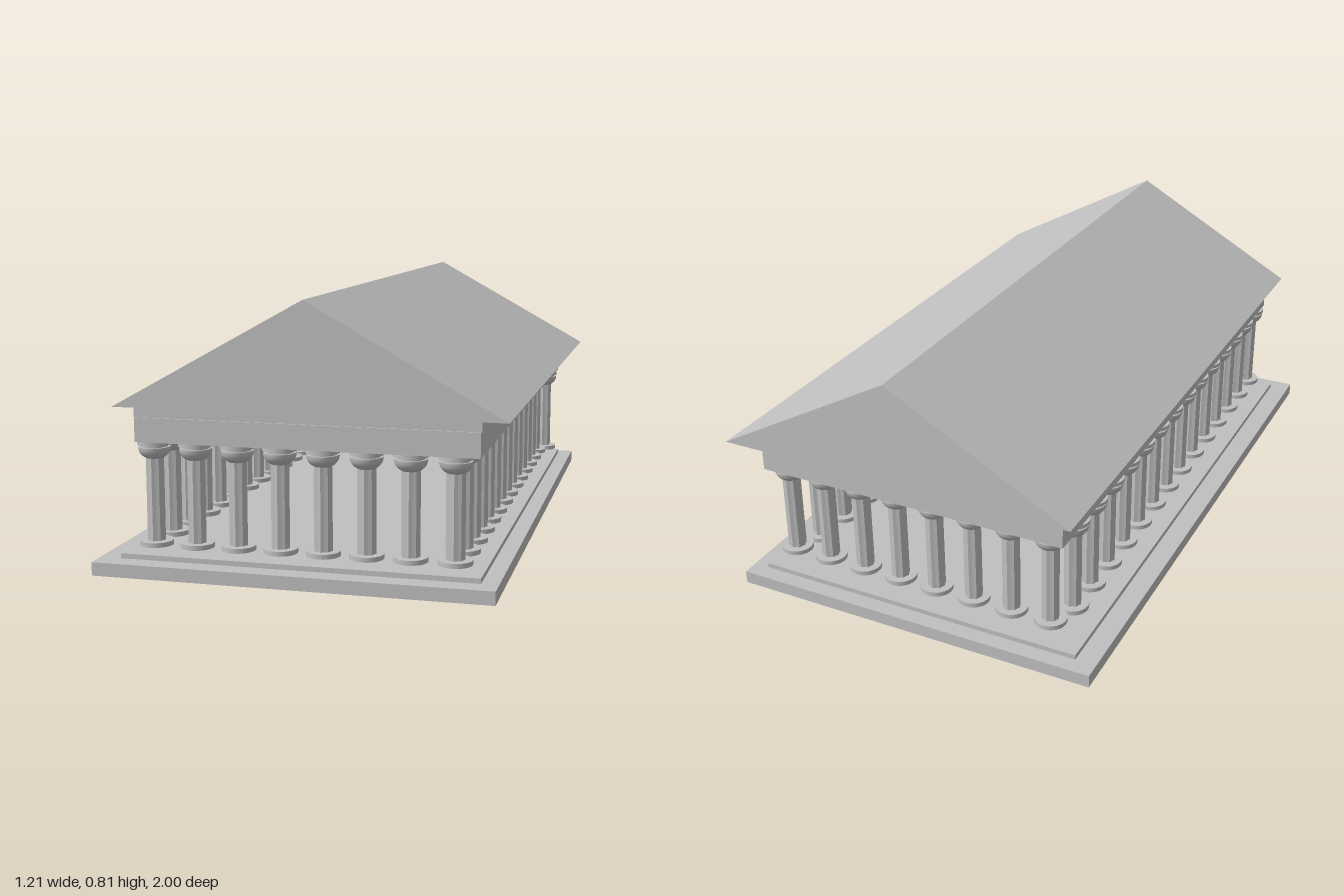
import * as THREE from 'three';

const stone = new THREE.MeshStandardMaterial({ color: 0xc0c0c0 });
stone.name = 'stone';

function addMesh(parent, name, geometry) {
  const mesh = new THREE.Mesh(geometry, stone);
  mesh.name = name;
  parent.add(mesh);
  return mesh;
}

// Box given by its extents on each axis
function slab(parent, name, [x0, x1], [y0, y1], [z0, z1]) {
  const mesh = addMesh(parent, name, new THREE.BoxGeometry(x1 - x0, y1 - y0, z1 - z0));
  mesh.position.set((x0 + x1) / 2, (y0 + y1) / 2, (z0 + z1) / 2);
}

// Shaft with shallow rounded flutes
function shaftGeometry(y0, y1, radius, flutes) {
  const steps = flutes * 4;
  const points = [];
  for (let i = 0; i < steps; i++) {
    const a = (i / steps) * Math.PI * 2;
    const r = radius - 0.003 * Math.abs(Math.sin((a * flutes) / 2));
    points.push(new THREE.Vector2(Math.cos(a) * r, Math.sin(a) * r));
  }
  const geo = new THREE.ExtrudeGeometry(new THREE.Shape(points), { depth: y1 - y0, bevelEnabled: false });
  return geo.rotateX(-Math.PI / 2).translate(0, y0, 0);
}

function discGeometry(y0, y1, radius) {
  return new THREE.CylinderGeometry(radius, radius, y1 - y0, 24).translate(0, (y0 + y1) / 2, 0);
}

// Bowl: the lower half of a squashed sphere, closed by a flat top
function bowlGeometry(y0, y1, radius) {
  const profile = [];
  for (let i = 0; i <= 8; i++) {
    const a = (i / 8) * Math.PI / 2;
    profile.push(new THREE.Vector2(radius * Math.sin(a), y1 - (y1 - y0) * Math.cos(a)));
  }
  return new THREE.LatheGeometry(profile, 24);
}

const columnParts = {
  columnBase: discGeometry(0.077, 0.091, 0.05),
  columnShaft: shaftGeometry(0.091, 0.345, 0.028, 8),
  capitalBowl: bowlGeometry(0.33, 0.368, 0.048),
  capitalBowlTop: discGeometry(0.366, 0.37, 0.047),
  capitalNeck: discGeometry(0.37, 0.376, 0.04),
  capitalSlab: discGeometry(0.376, 0.388, 0.05),
};

function addColumn(parent, x, z) {
  const column = new THREE.Group();
  column.name = 'column';
  for (const [name, geo] of Object.entries(columnParts)) addMesh(column, name, geo);
  column.position.set(x, 0, z);
  parent.add(column);
}

export function createModel() {
  const temple = new THREE.Group();
  temple.name = 'temple';

  // Stepped platform
  slab(temple, 'platform', [-0.605, 0.575], [0, 0.04], [-1, 1]);
  slab(temple, 'step', [-0.54, 0.525], [0.04, 0.055], [-0.95, 0.94]);

  // Colonnade: eight across each end, thirteen more along each side
  const colonnade = new THREE.Group();
  colonnade.name = 'colonnade';
  temple.add(colonnade);
  const gap = 0.1273;
  for (let i = 0; i < 8; i++) {
    addColumn(colonnade, -0.447 + i * gap, 0.89);
    addColumn(colonnade, -0.418 + i * gap, -0.857);
  }
  for (let i = 1; i < 14; i++) {
    for (const x of [-0.447, 0.444]) addColumn(colonnade, x, 0.89 - i * gap);
  }

  // Beams carried by the columns
  slab(temple, 'lowerBeam', [-0.487, 0.52], [0.388, 0.46], [-0.925, 0.94]);
  slab(temple, 'upperBeam', [-0.49, 0.523], [0.46, 0.495], [-0.925, 0.935]);

  // Gabled roof
  const gable = new THREE.Shape();
  gable.moveTo(-0.538, 0.495);
  gable.lineTo(0.603, 0.495);
  gable.lineTo(0.033, 0.811);
  gable.closePath();
  const roof = new THREE.ExtrudeGeometry(gable, { depth: 1.965, bevelEnabled: false });
  addMesh(temple, 'roof', roof).position.z = -0.987;

  return temple;
}
